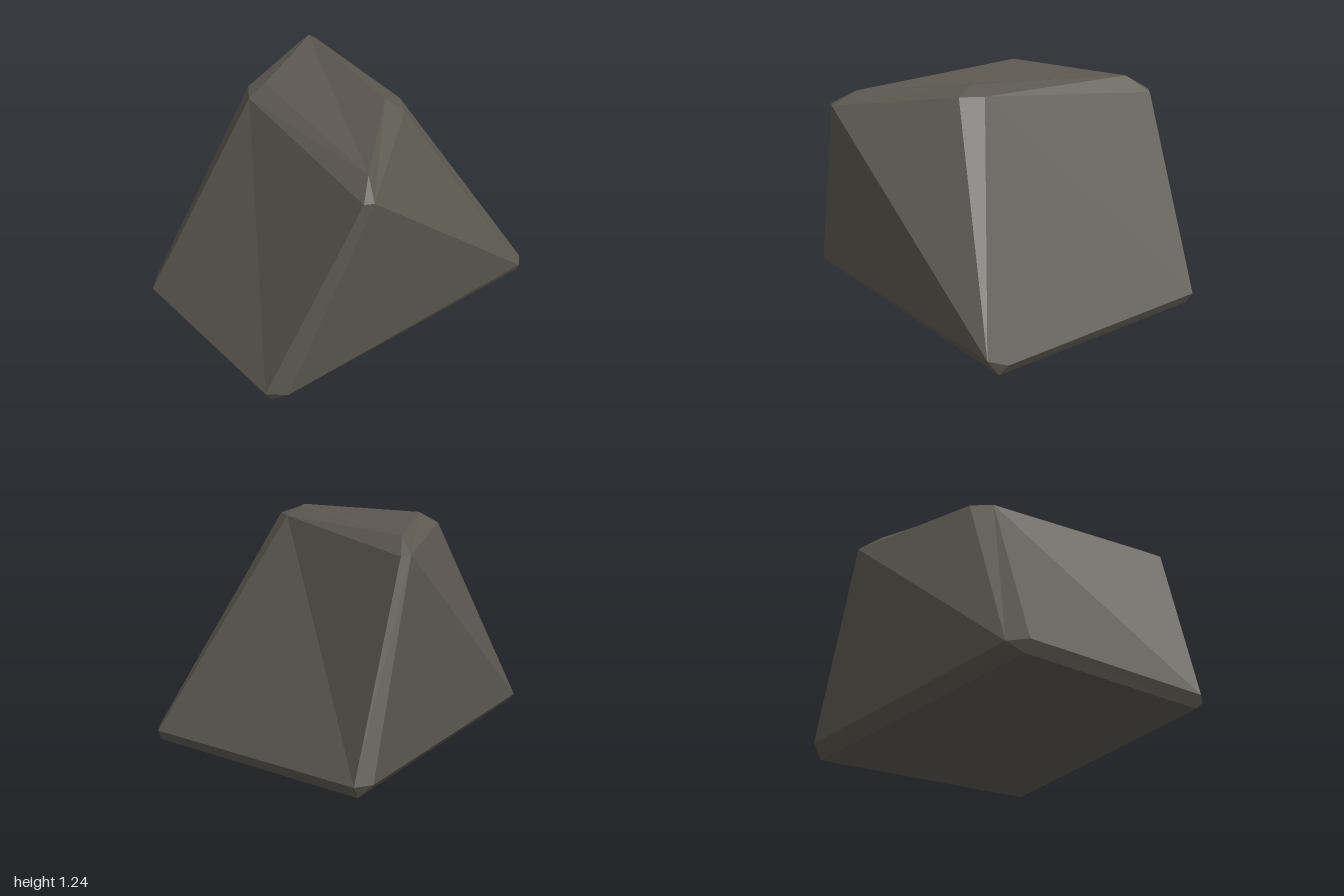
import * as THREE from 'three';

// Eight corners of a tapered block; each is cut into one point per adjoining face.
// Faces: T top, U underside, L left-hand, F front, R right-hand, K back.
const corners = {
  A: { T: [-0.30, 1.22, -0.165], L: [-0.40, 1.17, -0.13], K: [-0.36, 1.17, -0.25] },
  B: { T: [0.14, 1.19, -0.63], K: [0.17, 1.115, -0.75], R: [0.22, 1.11, -0.735] },
  C: { T: [0.18, 1.24, 0.26], R: [0.285, 1.20, 0.22], F: [0.25, 1.20, 0.345] },
  D: { T: [-0.145, 1.175, 0.765], F: [-0.17, 1.10, 0.89], L: [-0.22, 1.10, 0.88] },
  a: { U: [-0.97, 0.07, -0.14], L: [-1.00, 0.13, -0.12], K: [-0.945, 0.13, -0.22] },
  b: { U: [0.53, 0.0, -0.84], K: [0.475, 0.07, -0.89], R: [0.565, 0.065, -0.86] },
  c: { U: [0.97, 0.03, 0.41], R: [1.00, 0.09, 0.375], F: [0.945, 0.10, 0.46] },
  d: { U: [-0.68, 0.01, 0.815], F: [-0.615, 0.07, 0.88], L: [-0.715, 0.07, 0.83] },
};
const faces = { T: 'BCDA', U: 'abcd', L: 'ADda', F: 'DCcd', R: 'CBbc', K: 'BAab' };
const edges = ['AB', 'BC', 'CD', 'DA', 'ab', 'bc', 'cd', 'da', 'Aa', 'Bb', 'Cc', 'Dd'];

function blockGeometry() {
  const positions = [];
  const centre = new THREE.Vector3(0, 0.55, 0);

  // Adds a triangle wound so that it faces outwards
  const triangle = (...points) => {
    const [p, q, r] = points.map((v) => new THREE.Vector3(...v));
    const normal = q.clone().sub(p).cross(r.clone().sub(p));
    const middle = p.clone().add(q).add(r).divideScalar(3).sub(centre);
    const order = normal.dot(middle) > 0 ? [p, q, r] : [p, r, q];
    order.forEach((v) => positions.push(v.x, v.y, v.z));
  };
  const quad = (p, q, r, s) => {
    triangle(p, q, r);
    triangle(p, r, s);
  };

  // Six main faces
  for (const [face, ring] of Object.entries(faces)) {
    quad(...[...ring].map((name) => corners[name][face]));
  }
  // Twelve bevels, each between the two faces that share an edge
  for (const [m, n] of edges) {
    const [f, g] = Object.keys(corners[m]).filter((face) => face in corners[n]);
    quad(corners[m][f], corners[n][f], corners[n][g], corners[m][g]);
  }
  // Eight cut corners
  for (const corner of Object.values(corners)) triangle(...Object.values(corner));

  const geometry = new THREE.BufferGeometry();
  geometry.setAttribute('position', new THREE.Float32BufferAttribute(positions, 3));
  geometry.computeVertexNormals();
  return geometry;
}

export function createModel() {
  const group = new THREE.Group();
  group.name = 'rock';
  const stone = new THREE.MeshStandardMaterial({ color: 0x5c5850 });
  stone.name = 'dark stone';
  const block = new THREE.Mesh(blockGeometry(), stone);
  block.name = 'bevelledStone';
  group.add(block);
  return group;
}
